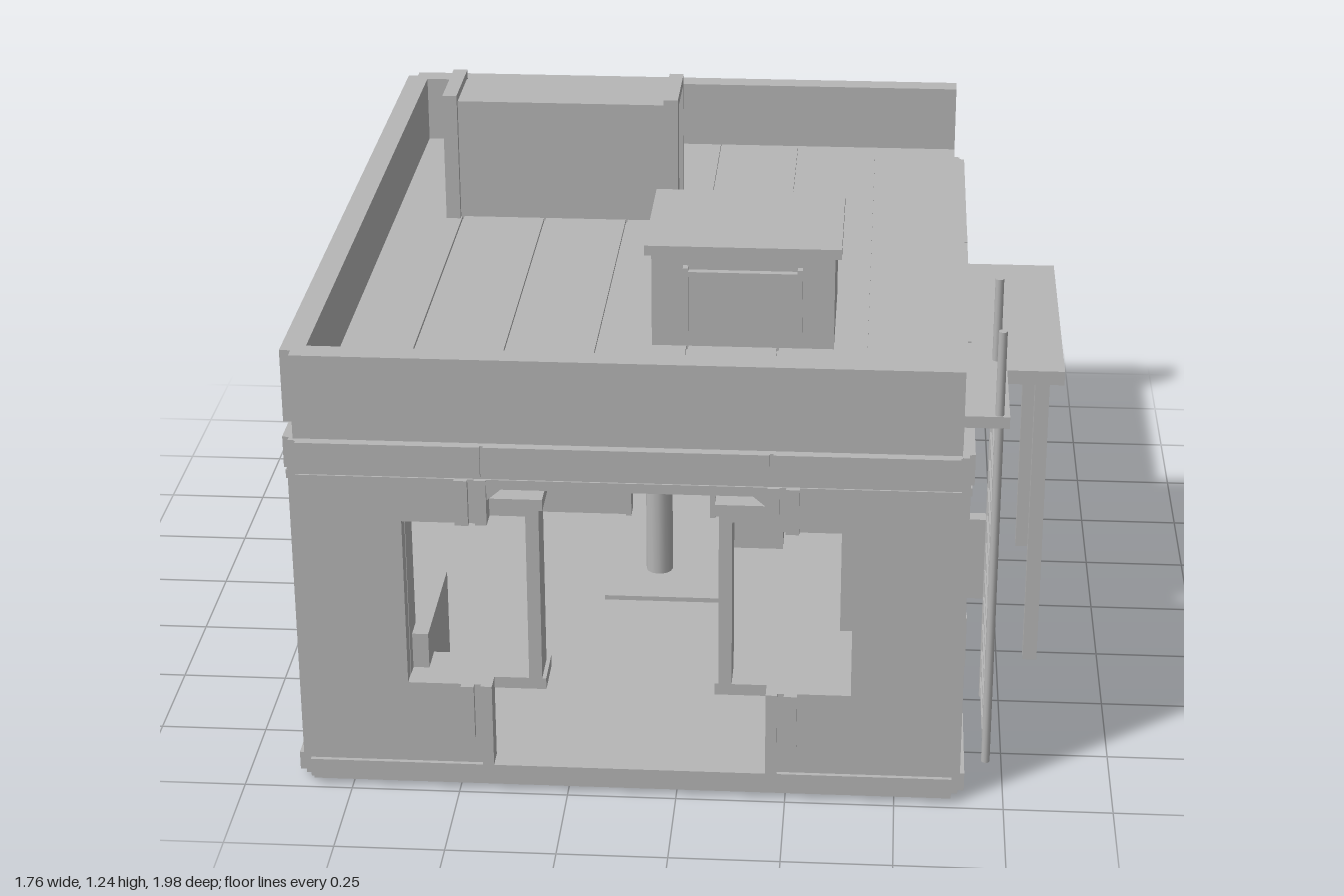
import * as THREE from 'three';

const grey = new THREE.MeshStandardMaterial({ color: 0xb6b6b6 });
grey.name = 'plain grey';

const CX = -0.108; // centre line of the building in x

function add(parent, name, geometry) {
  const mesh = new THREE.Mesh(geometry, grey);
  mesh.name = name;
  parent.add(mesh);
  return mesh;
}

// box given by its limits on each axis
function box(parent, name, x0, x1, y0, y1, z0, z1) {
  const mesh = add(parent, name, new THREE.BoxGeometry(x1 - x0, y1 - y0, z1 - z0));
  mesh.position.set((x0 + x1) / 2, (y0 + y1) / 2, (z0 + z1) / 2);
  return mesh;
}

function rod(parent, name, x, y0, y1, z, r) {
  const mesh = add(parent, name, new THREE.CylinderGeometry(r, r, y1 - y0, 12));
  mesh.position.set(x, (y0 + y1) / 2, z);
  return mesh;
}

// Wall panels are drawn in their own plane; z = 0 is the outer face
function panel(parent, name, points, holes = []) {
  const shape = new THREE.Shape(points.map(([u, v]) => new THREE.Vector2(u, v)));
  for (const [u0, u1, v0, v1] of holes) {
    shape.holes.push(new THREE.Path([[u0, v0], [u0, v1], [u1, v1], [u1, v0]]
      .map(([u, v]) => new THREE.Vector2(u, v))));
  }
  const geometry = new THREE.ExtrudeGeometry(shape, { depth: 0.04, bevelEnabled: false });
  geometry.translate(0, 0, -0.04);
  return add(parent, name, geometry);
}

// Frame set inside a window, with mounting bars on the outer face
function windowFrame(parent, u) {
  const g = new THREE.Group();
  g.name = 'window';
  const w = 0.136;
  for (const s of [-1, 1]) {
    const a = u + s * w, b = u + s * (w + 0.03);
    box(g, 'windowJamb', Math.min(a, b), Math.max(a, b), 0.265, 0.7, -0.13, -0.041);
  }
  box(g, 'windowLintel', u - 0.175, u + 0.175, 0.695, 0.722, -0.15, -0.041);
  box(g, 'windowHead', u - w, u + w, 0.68, 0.695, -0.13, -0.041);
  box(g, 'windowSill', u - 0.175, u + 0.175, 0.24, 0.268, -0.15, -0.041);
  box(g, 'upperBar', u - 0.015, u + 0.015, 0.68, 0.79, -0.03, 0.014);
  box(g, 'lowerBar', u - 0.015, u + 0.015, 0.14, 0.27, -0.03, 0.014);
  parent.add(g);
}

// Base strip, top band and its dividers along one wall
function trims(parent, half, split) {
  box(parent, 'baseTrim', -half, half, 0.02, 0.065, -0.02, 0.01);
  const edges = [-half, -split, split, half];
  for (let i = 0; i < 3; i++) {
    box(parent, 'topBand', edges[i] + 0.004, edges[i + 1] - 0.004, 0.795, 0.87, -0.02, 0.008);
  }
  box(parent, 'bandStrip', -half, half, 0.77, 0.79, -0.02, 0.004);
}

function endWall() {
  const g = new THREE.Group();
  const half = [[0.738, 0.87], [0.738, 0.02], [0.315, 0.02], [0.315, 0.27], [0.505, 0.27],
    [0.505, 0.68], [0.315, 0.68], [0.315, 0.735], [0.28, 0.765]];
  const mirrored = half.map(([u, v]) => [-u, v]).reverse();
  panel(g, 'endWallPanel', [...half, ...mirrored]);
  trims(g, 0.738, 0.32);
  for (const s of [-1, 1]) {
    windowFrame(g, s * 0.368);
    const x = s * 0.325;
    box(g, 'doorPost', x - 0.013, x + 0.013, 0.02, 0.27, -0.04, 0.01);
    box(g, 'doorPostTop', x - 0.013, x + 0.013, 0.68, 0.79, -0.04, 0.01);
  }
  return g;
}

function sideWall() {
  const g = new THREE.Group();
  panel(g, 'sideWallPanel',
    [[-0.955, 0.02], [-0.3, 0.02], [-0.3, 0.74], [0.3, 0.74], [0.3, 0.02], [0.955, 0.02],
      [0.955, 0.87], [-0.955, 0.87]],
    [[-0.71, -0.434, 0.27, 0.68], [0.434, 0.71, 0.27, 0.68]]);
  trims(g, 0.955, 0.325);
  for (const s of [-1, 1]) {
    windowFrame(g, s * 0.572);
    const z = s * 0.305;
    box(g, 'doorJamb', z - 0.018, z + 0.018, 0.02, 0.77, -0.08, 0.006);
  }
  box(g, 'doorHead', -0.3, 0.3, 0.73, 0.77, -0.08, 0.004);
  box(g, 'doorLintel', -0.325, 0.325, 0.77, 0.8, -0.02, 0.014);
  return g;
}

export function createModel() {
  const model = new THREE.Group();
  model.name = 'smallHouse';

  // Base and floor
  box(model, 'baseSlab', -0.845, 0.63, 0, 0.02, -0.96, 0.96);
  box(model, 'floor', -0.845, 0.63, 0.02, 0.065, -0.965, 0.965);

  // Four outer walls
  const walls = [
    ['frontWall', endWall(), CX, 0.975, 0],
    ['backWall', endWall(), CX, -0.975, Math.PI],
    ['leftWall', sideWall(), 0.65, 0, Math.PI / 2],
    ['rightWall', sideWall(), -0.867, 0, -Math.PI / 2],
  ];
  for (const [name, wall, x, z, turn] of walls) {
    wall.name = name;
    wall.position.set(x, 0, z);
    wall.rotation.y = turn;
    model.add(wall);
  }
  // Corner posts
  for (const x of [-0.84, 0.625]) for (const z of [-0.95, 0.95]) {
    box(model, 'cornerPost', x - 0.02, x + 0.02, 0.02, 0.87, z - 0.02, z + 0.02);
  }

  // Inner partition with a doorway
  const partition = new THREE.Group();
  partition.name = 'partition';
  box(partition, 'partitionSide', -0.83, -0.225, 0.065, 0.87, -0.37, -0.33);
  box(partition, 'partitionSide', 0.0, 0.615, 0.065, 0.87, -0.37, -0.33);
  box(partition, 'partitionTop', -0.225, 0.0, 0.725, 0.87, -0.37, -0.33);
  box(partition, 'partitionJamb', -0.228, -0.213, 0.065, 0.725, -0.38, -0.32);
  box(partition, 'partitionJamb', -0.002, 0.012, 0.065, 0.725, -0.38, -0.32);
  model.add(partition);

  // Furniture
  box(model, 'hearthPlate', -0.24, 0.05, 0.065, 0.077, -0.15, 0.16);
  rod(model, 'stove', -0.112, 0.07, 0.31, 0, 0.034);
  box(model, 'counter', 0.045, 0.2, 0.065, 0.22, -0.29, -0.15);
  box(model, 'counterTop', 0.02, 0.21, 0.22, 0.243, -0.32, -0.135);
  box(model, 'counterBack', 0.06, 0.155, 0.243, 0.345, -0.197, -0.185);
  box(model, 'cabinet', 0.36, 0.6, 0.065, 0.355, 0.14, 0.29);
  box(model, 'chest', -0.82, -0.575, 0.065, 0.355, 0.585, 0.9);

  // Roof deck with plank seams
  box(model, 'roofSlab', -0.85, 0.63, 0.865, 0.9, -0.96, 0.96);
  const planks = 7, step = 1.48 / planks;
  for (let i = 0; i < planks; i++) {
    const x = -0.85 + i * step;
    box(model, 'roofPlank', x, x + step - 0.005, 0.9, 0.908, -0.96, 0.96);
  }

  // Parapet on three sides
  for (const s of [-1, 1]) {
    const z = s * 0.955;
    box(model, 'parapetEnd', -0.845, 0.63, 0.908, 1.08, z - 0.028, z + 0.028);
  }
  box(model, 'parapetSide', -0.87, -0.815, 0.908, 1.08, -0.955, 0.955);

  // Tall roof box
  box(model, 'ventBody', -0.67, -0.095, 0.9, 1.22, -0.515, -0.335);
  for (const x of [-0.665, -0.102]) {
    for (const z of [-0.52, -0.326]) {
      box(model, 'ventPost', x - 0.018, x + 0.018, 0.9, 1.225, z - 0.008, z + 0.008);
    }
    box(model, 'ventCap', x - 0.018, x + 0.018, 1.215, 1.24, -0.53, -0.316);
  }

  // Low roof hatch with raised frames on two faces
  box(model, 'hatchBody', -0.09, 0.335, 0.9, 1.138, 0.13, 0.475);
  box(model, 'hatchLid', -0.105, 0.35, 1.138, 1.162, 0.115, 0.49);
  for (const z of [0.122, 0.483]) {
    for (const x of [-0.01, 0.255]) {
      box(model, 'hatchBar', x - 0.006, x + 0.006, 0.95, 1.11, z - 0.012, z + 0.012);
    }
    box(model, 'hatchRail', -0.01, 0.255, 1.088, 1.1, z - 0.009, z + 0.009);
  }

  // Side canopy on two posts
  box(model, 'canopy', 0.64, 0.882, 0.77, 0.805, -0.343, 0.337);
  for (const z of [-0.313, 0.308]) {
    box(model, 'canopyPost', 0.814, 0.848, 0.02, 0.77, z - 0.017, z + 0.017);
  }

  // Ladder and roof landing
  box(model, 'landing', 0.62, 0.735, 0.88, 0.908, 0.49, 0.832);
  for (const z of [0.512, 0.82]) rod(model, 'ladderRail', 0.712, 0.02, 1.11, z, 0.01);
  for (let i = 0; i < 12; i++) {
    const y = 0.068 + i * 0.0725;
    box(model, 'ladderRung', 0.703, 0.721, y - 0.006, y + 0.006, 0.512, 0.82);
  }

  // Wall box beside the door
  box(model, 'wallBox', 0.65, 0.735, 0.23, 0.443, 0.372, 0.408);

  return model;
}
